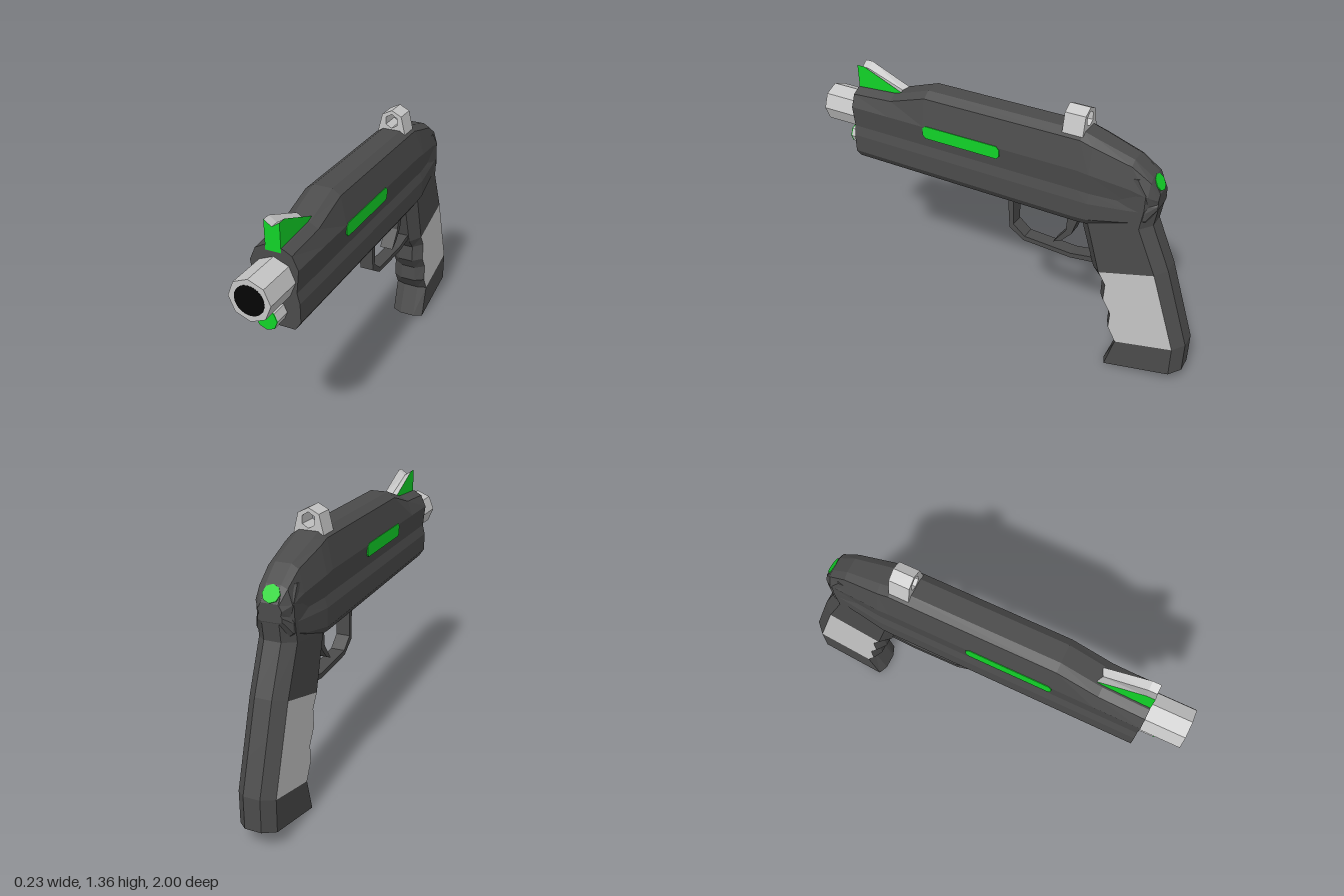
import * as THREE from 'three';

const mat = (name, color) => Object.assign(new THREE.MeshStandardMaterial({ color }), { name });

// Loft closed rings (counter-clockwise around the travel direction), capped at both ends, faceted.
// pick(i, j) gives the material index of the quad after ring i, point j.
function loft(rings, pick = () => 0) {
  const lists = [[], []];
  const put = (m, ...pts) => pts.forEach(p => lists[m].push(p[0], p[1], p[2]));
  const n = rings[0].length;
  for (let i = 0; i < rings.length - 1; i++) {
    for (let j = 0; j < n; j++) {
      const k = (j + 1) % n;
      const a = rings[i][j], b = rings[i][k], c = rings[i + 1][k], d = rings[i + 1][j];
      put(pick(i, j), a, b, c, a, c, d);
    }
  }
  const cap = (ring, flip) => {
    const mid = [0, 1, 2].map(q => ring.reduce((s, p) => s + p[q], 0) / n);
    ring.forEach((p, j) => {
      const r = ring[(j + 1) % n];
      flip ? put(0, mid, r, p) : put(0, mid, p, r);
    });
  };
  cap(rings[0], true);
  cap(rings[rings.length - 1], false);
  const geo = new THREE.BufferGeometry();
  geo.setAttribute('position', new THREE.Float32BufferAttribute(lists.flat(), 3));
  geo.addGroup(0, lists[0].length / 3, 0);
  if (lists[1].length) geo.addGroup(lists[0].length / 3, lists[1].length / 3, 1);
  geo.computeVertexNormals();
  return geo;
}

// Side profile of [z, y] points extruded across x, centred
function sideExtrude(shape, width) {
  const geo = new THREE.ExtrudeGeometry(shape, { depth: width, bevelEnabled: false, curveSegments: 4 });
  return geo.rotateY(-Math.PI / 2).translate(width / 2, 0, 0);
}

const outline = pts => new THREE.Shape(pts.map(p => new THREE.Vector2(p[0], p[1])));

// Faceted prism along z, with a corner at the top
function prism(radius, z0, z1, y, sides = 8) {
  const geo = new THREE.CylinderGeometry(radius, radius, z1 - z0, sides).rotateX(Math.PI / 2).toNonIndexed();
  geo.computeVertexNormals();
  return geo.translate(0, y, (z0 + z1) / 2);
}

// Body cross-section at z: right half from bottom to top, then mirrored
function section([z, w, bottom, scale, top]) {
  const level = u => bottom + u * 0.45 * scale;
  const half = [
    [0.085, bottom], [0.112, level(0.09)], [0.112, level(0.29)], [0.1, level(0.4)],
    [0.112, level(0.64)], [0.085, top - 0.06 * (top - bottom)], [0.045, top],
  ].map(([x, y]) => [x * w, y, z]);
  return [...half, ...half.slice().reverse().map(([x, y, q]) => [-x, y, q])];
}

// Grip cross-section: chamfered slab between a front and a back point given as y, z
function gripRing([fy, fz, by, bz, w, cut]) {
  const len = Math.hypot(by - fy, bz - fz);
  const at = (x, d) => [x, fy + (by - fy) * d / len, fz + (bz - fz) * d / len];
  const half = [at(0.04, 0), at(w, cut), at(w, len - 0.05), at(0.04, len)];
  return [...half, ...half.slice().reverse().map(([x, y, z]) => [-x, y, z])];
}

export function createModel() {
  const dark = mat('darkGrey', 0x4b4b4b);
  const silver = mat('silver', 0xc6c6c6);
  const green = mat('green', 0x12d428);
  const black = mat('black', 0x050505);
  const model = new THREE.Group();
  model.name = 'toyBlaster';
  const add = (name, geo, material) => {
    const mesh = new THREE.Mesh(geo, material);
    mesh.name = name;
    model.add(mesh);
    return mesh;
  };

  // Body, back to front: z, width factor, bottom, side scale, top
  add('body', loft([
    [-0.79, 0.5, 0.97, 0.18, 1.05],
    [-0.75, 0.76, 0.9, 0.49, 1.12],
    [-0.66, 0.83, 0.86, 0.71, 1.185],
    [-0.48, 1, 0.815, 0.96, 1.243],
    [-0.42, 1, 0.81, 1, 1.262],
    [0.39, 1, 0.81, 1, 1.262],
    [0.59, 1, 0.81, 1, 1.195],
    [0.81, 1, 0.81, 1, 1.18],
  ].map(section)), dark);

  // Grip with finger ridges, bottom to top: front y, z, back y, z, half width, front chamfer
  const panelStart = 1, panelEnd = 6;
  add('grip', loft([
    [0, -0.6, 0.1, -1, 0.09, 0.02],
    [0.17, -0.655, 0.26, -1, 0.09, 0.012],
    [0.245, -0.6, 0.33, -0.977, 0.09, 0.025],
    [0.33, -0.602, 0.42, -0.948, 0.09, 0.028],
    [0.4, -0.553, 0.5, -0.922, 0.09, 0.035],
    [0.49, -0.555, 0.59, -0.893, 0.09, 0.038],
    [0.55, -0.505, 0.66, -0.87, 0.09, 0.05],
    [0.82, -0.425, 0.88, -0.775, 0.09, 0.055],
    [0.96, -0.45, 0.98, -0.79, 0.088, 0.05],
    [1.06, -0.5, 1.05, -0.79, 0.086, 0.05],
    [1.11, -0.6, 1.12, -0.745, 0.08, 0.05],
  ].map(gripRing), (i, j) => (i >= panelStart && i < panelEnd && (j === 1 || j === 5) ? 1 : 0)), [dark, silver]);

  // Barrel and small lower emitter
  add('barrel', prism(0.097, 0.78, 1, 1.04), silver);
  add('bore', prism(0.069, 0.995, 1.001, 1.04, 20), black);
  add('lowerEmitter', prism(0.05, 0.78, 0.885, 0.885), silver);
  add('emitterLens', prism(0.05, 0.885, 0.89, 0.885), green);

  // Front sight: green wedge with a silver V groove along its top
  const sight = [[0.56, 1.208, 1.195], [0.77, 1.295, 1.27], [0.81, 1.295, 1.27]].map(([z, edge, mid]) => [
    [-0.036, 1.16, z], [0.036, 1.16, z], [0.036, edge, z], [0, mid, z], [-0.036, edge, z],
  ]);
  add('frontSight', loft(sight, (i, j) => (j === 2 || j === 3 ? 1 : 0)), [green, silver]);

  // Rear sight: faceted hoop
  const hoop = outline([[-0.072, 1.245], [0.072, 1.245], [0.05, 1.335], [0, 1.36], [-0.05, 1.335]]);
  const hole = new THREE.Path();
  for (let i = 0; i < 6; i++) {
    const a = Math.PI / 2 - i * Math.PI / 3;
    hole[i ? 'lineTo' : 'moveTo'](0.034 * Math.cos(a), 1.305 + 0.036 * Math.sin(a));
  }
  hole.closePath();
  hoop.holes.push(hole);
  add('rearSight', new THREE.ExtrudeGeometry(hoop, { depth: 0.1, bevelEnabled: false }).translate(0, 0, -0.425), silver);

  // Trigger guard and trigger
  add('triggerGuard', sideExtrude(outline([
    [-0.035, 0.83], [-0.045, 0.615], [-0.125, 0.562], [-0.38, 0.55], [-0.54, 0.572],
    [-0.53, 0.6], [-0.38, 0.575], [-0.13, 0.587], [-0.067, 0.64], [-0.067, 0.83],
  ]), 0.07), dark);
  add('trigger', sideExtrude(outline([
    [-0.36, 0.83], [-0.35, 0.7], [-0.285, 0.612], [-0.33, 0.635], [-0.38, 0.69], [-0.425, 0.83],
  ]), 0.07), dark);

  // Light strips on both sides, rounded at the corners
  const [z0, z1, y0, y1, r] = [-0.03, 0.39, 1.04, 1.105, 0.015];
  const strip = outline([
    [z0 + r, y0], [z1 - r, y0], [z1, y0 + r], [z1, y1 - r],
    [z1 - r, y1], [z0 + r, y1], [z0, y1 - r], [z0, y0 + r],
  ]);
  for (const [name, side] of [['leftLightStrip', 1], ['rightLightStrip', -1]]) {
    add(name, sideExtrude(strip, 0.009), green).position.x = side * 0.1095;
  }

  // Round lamp on the sloping back of the body
  const lamp = add('rearLamp', prism(0.041, -0.004, 0.004, 0), green);
  lamp.position.set(0, 1.085, -0.769);
  lamp.lookAt(0, 1.085 + 0.54, -0.769 - 0.84);

  return model;
}
